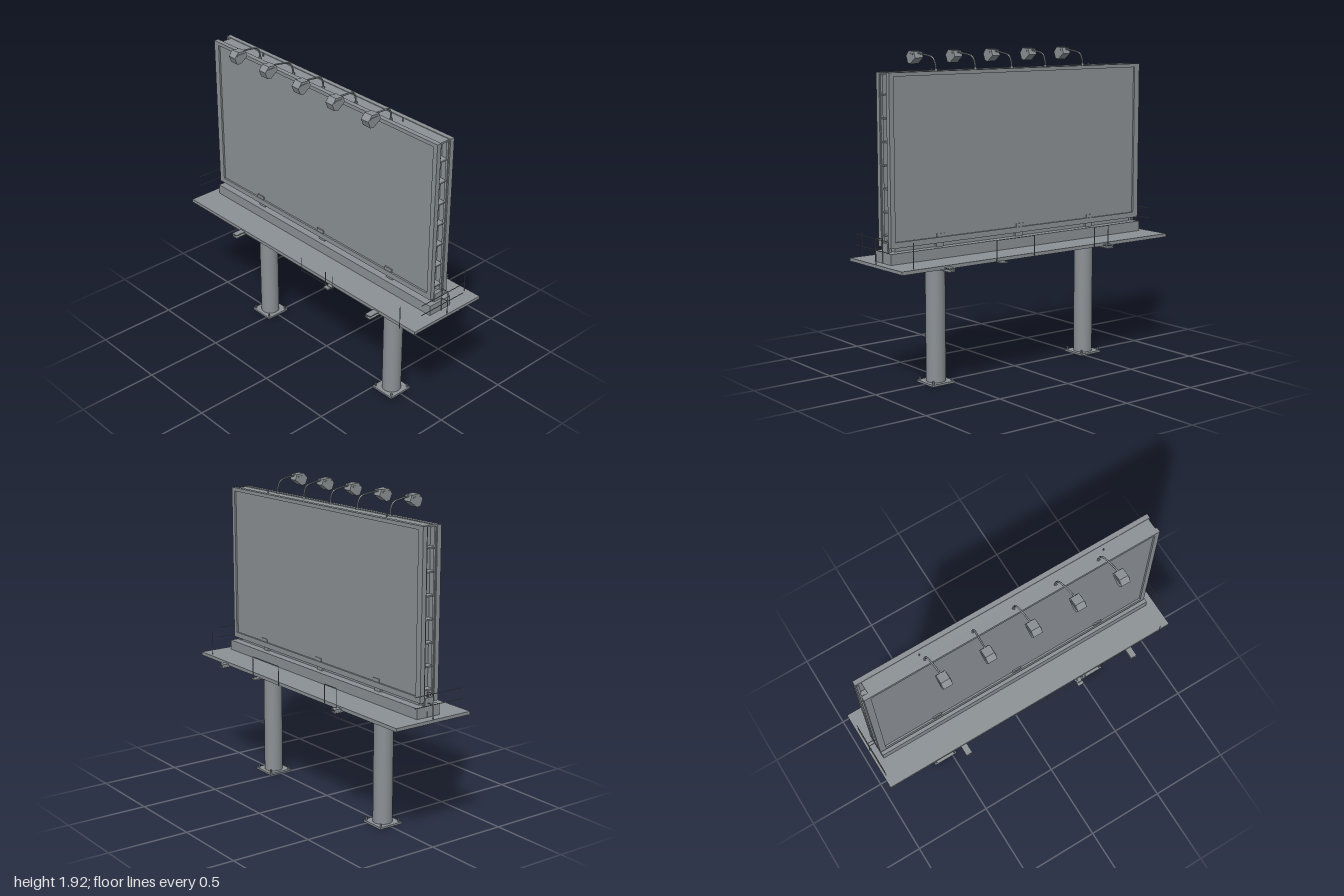
import * as THREE from 'three';

const steel = new THREE.MeshStandardMaterial({ color: 0x8c9195 });
steel.name = 'grey steel';

export function createModel() {
  const root = new THREE.Group();
  root.name = 'billboard';

  const add = (name, geo, parent = root) => {
    const m = new THREE.Mesh(geo, steel);
    m.name = name;
    parent.add(m);
    return m;
  };
  // box given by its limits on each axis
  const box = (name, x0, x1, y0, y1, z0, z1, parent) => {
    const m = add(name, new THREE.BoxGeometry(x1 - x0, y1 - y0, z1 - z0), parent);
    m.position.set((x0 + x1) / 2, (y0 + y1) / 2, (z0 + z1) / 2);
    return m;
  };
  // thin round bar between two points
  const bar = (name, a, b, r = 0.0025, parent = root) => {
    const p = new THREE.Vector3(...a), q = new THREE.Vector3(...b);
    const m = add(name, new THREE.CylinderGeometry(r, r, p.distanceTo(q), 6), parent);
    m.position.copy(p).add(q).multiplyScalar(0.5);
    m.quaternion.setFromUnitVectors(new THREE.Vector3(0, 1, 0), q.sub(p).normalize());
    return m;
  };

  // columns with bolted foot plates
  for (const cx of [-0.55, 0.583]) {
    const g = new THREE.Group();
    g.name = 'column';
    g.position.x = cx;
    root.add(g);
    add('post', new THREE.CylinderGeometry(0.058, 0.058, 0.725, 32), g).position.y = 0.37;
    box('footPlate', -0.08, 0.08, 0, 0.012, -0.08, 0.08, g);
    for (const sx of [-1, 1]) for (const sz of [-1, 1]) {
      const bolt = add('bolt', new THREE.CylinderGeometry(0.006, 0.006, 0.022, 6), g);
      bolt.position.set(sx * 0.067, 0.02, sz * 0.067);
    }
  }

  // walkway deck with the frame beneath it
  box('deck', -1, 0.995, 0.74, 0.748, -0.275, 0.254);
  for (const z of [-0.275, -0.1, 0.07, 0.244]) box('deckBeam', -1, 0.995, 0.727, 0.74, z, z + 0.01);
  for (let i = 0; i <= 8; i++) {
    const x = -1 + i * 0.2481;
    box('deckJoist', x, x + 0.01, 0.729, 0.74, -0.27, 0.25);
  }
  for (const x of [-0.512, 0.672]) {
    box('crossBeamTop', x, x + 0.04, 0.733, 0.738, -0.32, 0.32);
    box('crossBeamWeb', x + 0.002, x + 0.01, 0.717, 0.735, -0.32, 0.32);
    box('crossBeamFoot', x, x + 0.04, 0.715, 0.72, -0.32, 0.32);
  }

  // plinth under the panel
  box('plinth', -0.945, 0.94, 0.748, 0.81, -0.086, 0.076);
  box('panelSeat', -0.9, 0.88, 0.81, 0.84, -0.035, 0.03);
  for (const x of [-0.55, 0.005, 0.583]) box('seatBlock', x - 0.025, x + 0.025, 0.81, 0.835, -0.05, 0.045);

  // two framed screens, back to back
  const L = -0.948, R = 0.925, B = 0.835, T = 1.81;
  const frameShape = new THREE.Shape([[L, B], [R, B], [R, T], [L, T]].map(p => new THREE.Vector2(...p)));
  frameShape.holes.push(new THREE.Path(
    [[-0.908, 0.868], [-0.908, 1.788], [0.895, 1.788], [0.895, 0.868]].map(p => new THREE.Vector2(...p))));
  for (const [z0, z1, s0, s1] of [[0.032, 0.061, 0.034, 0.05], [-0.067, -0.038, -0.056, -0.04]]) {
    add('screenFrame', new THREE.ExtrudeGeometry(frameShape, { depth: z1 - z0, bevelEnabled: false })).position.z = z0;
    box('screen', -0.92, 0.905, 0.855, 1.8, s0, s1);
  }
  for (const x of [-0.55, 0.005, 0.583])
    for (const z of [0.05, -0.058]) box('screenClip', x - 0.028, x + 0.028, 0.865, 0.888, z - 0.002, z + 0.008);
  box('topCover', -0.91, 0.915, 1.795, 1.806, -0.04, 0.034);
  box('bottomCover', -0.91, 0.89, 0.835, 0.845, -0.04, 0.034);

  // ladder-like bracing in both open ends
  for (const [x, inner] of [[-0.935, -0.885], [0.912, 0.862]]) {
    const g = new THREE.Group();
    g.name = 'endBracing';
    root.add(g);
    const a = Math.min(x, inner), b = Math.max(x, inner);
    box('endWall', inner - 0.004, inner + 0.004, 0.84, 1.8, -0.04, 0.034, g);
    for (const z of [-0.036, 0.025]) box('rail', x - 0.007, x + 0.007, 0.81, 1.8, z, z + 0.006, g);
    for (let i = 0; i < 7; i++) {
      const y = 0.9 + i * 0.131;
      box('rung', a, b, y - 0.004, y + 0.004, -0.036, 0.031, g);
    }
    box('bracket', x - 0.012, x + 0.012, 0.81, 0.86, -0.03, 0.025, g);
  }

  // floodlights on curved arms
  const lampShape = new THREE.Shape([[0.25, 1.885], [0.223, 1.916], [0.17, 1.911], [0.157, 1.876],
    [0.208, 1.84], [0.234, 1.845]].map(([z, y]) => new THREE.Vector2(-z, y)));
  const lampGeo = new THREE.ExtrudeGeometry(lampShape, { depth: 0.056, bevelEnabled: false });
  lampGeo.translate(0, 0, -0.028).rotateY(Math.PI / 2);
  const lamps = [[-0.556, -0.54], [-0.257, -0.268], [0, 0.014], [0.267, 0.292], [0.545, 0.571]];
  for (const [baseX, x] of lamps) {
    const g = new THREE.Group();
    g.name = 'floodlight';
    root.add(g);
    const path = new THREE.CatmullRomCurve3([[0, 1.8, 0.026], [0.1, 1.845, 0.03], [0.25, 1.88, 0.05],
      [0.7, 1.895, 0.11], [1, 1.903, 0.175]].map(([t, y, z]) => new THREE.Vector3(baseX + (x - baseX) * t, y, z)));
    add('arm', new THREE.TubeGeometry(path, 16, 0.005, 8), g);
    add('armFoot', new THREE.CylinderGeometry(0.009, 0.009, 0.012, 8), g).position.set(baseX, 1.81, 0.026);
    // the extruded profile runs along x after the turn, with z mirrored back
    add('lampHousing', lampGeo, g).position.x = x;
    box('lampHood', x - 0.032, x + 0.032, 1.893, 1.901, 0.18, 0.235, g);
  }
  for (const x of [-0.57, 0.6]) bar('topStud', [x, 1.8, -0.01], [x, 1.825, -0.01], 0.004);

  // hand rails at both deck ends
  for (const s of [-1, 1]) {
    const x = s * 0.99, xi = s * 0.945;
    for (const y of [0.83, 0.893]) {
      bar('endRail', [x, y, -0.14], [x, y, 0.2]);
      bar('railTie', [x, y, -0.01], [xi, y, -0.01]);
    }
    bar('endPost', [x, 0.74, -0.01], [x, 0.893, -0.01]);
    bar('innerPost', [xi, 0.74, -0.01], [xi, 0.893, -0.01]);
  }

  // short rails along the back edge
  for (const [x0, x1] of [[0.085, 0.36], [-0.49, -0.38]]) {
    bar('backRail', [x0, 0.855, -0.295], [x1, 0.855, -0.295]);
    bar('backPost', [x0, 0.735, -0.295], [x0, 0.855, -0.295]);
    bar('backPost', [x1, 0.735, -0.295], [x1, 0.855, -0.295]);
  }
  bar('backPost', [0.9, 0.745, -0.25], [0.9, 0.893, -0.25]);

  // rail, posts and step bracket along the front edge
  bar('frontRail', [0.085, 0.735, 0.28], [0.355, 0.735, 0.28]);
  for (const [x, y] of [[0.085, 0.82], [0.297, 0.82], [0.355, 0.815]]) bar('frontPost', [x, 0.72, 0.28], [x, y, 0.28]);
  bar('frontPost', [0.9, 0.735, 0.275], [0.9, 0.88, 0.275]);
  for (const z of [-0.27, 0.25]) {
    const d = Math.sign(z);
    box('stepBracket', 0.3, 0.34, 0.722, 0.73, Math.min(z, z + d * 0.05), Math.max(z, z + d * 0.05));
  }
  return root;
}
